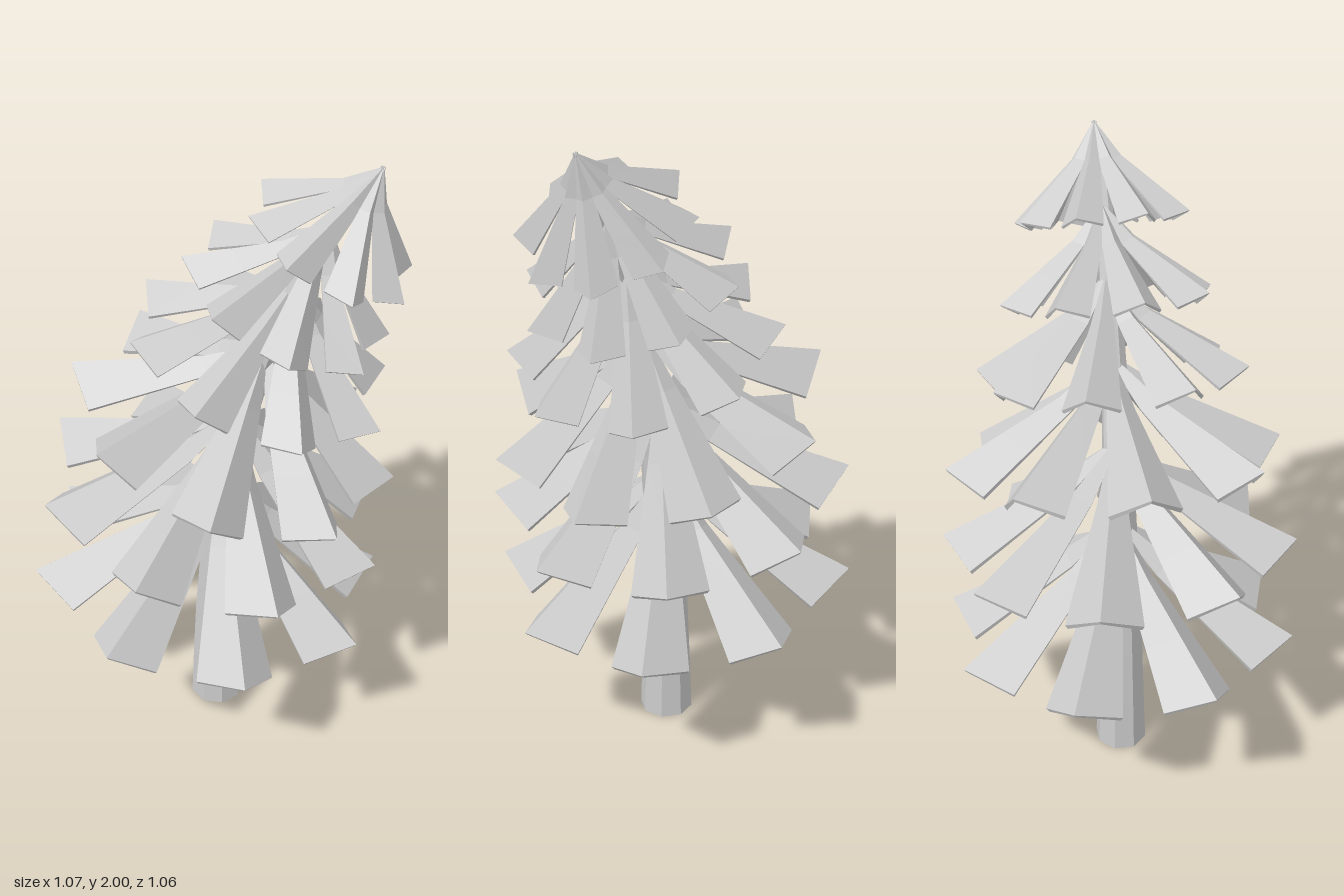
import * as THREE from 'three';

const material = new THREE.MeshStandardMaterial({ color: 0xcccccc, flatShading: true });

// Roof-shaped branch along +z, pointed at the trunk, wide at the tip, sloping down
function branchGeometry(reach, drop, halfWidth) {
  const fold = halfWidth * 0.95;
  const thick = halfWidth * 0.11;
  const section = new THREE.Shape([
    [0, 0], [-halfWidth, -fold], [-halfWidth * 0.93, -fold - thick],
    [0, -thick], [halfWidth * 0.93, -fold - thick], [halfWidth, -fold],
  ].map(([x, y]) => new THREE.Vector2(x, y)));
  const length = Math.hypot(reach, drop);
  const geometry = new THREE.ExtrudeGeometry(section, { depth: length, steps: 3, bevelEnabled: false });
  const p = geometry.attributes.position;
  for (let i = 0; i < p.count; i++) {
    const t = p.getZ(i) / length;
    const s = 0.1 + 0.9 * t;
    // steeper near the trunk, flatter towards the tip
    const sag = 0.02 * Math.min(3 * t, 1.5 * (1 - t));
    // the side corners of the tip sit behind the ridge
    const inset = 0.45 * Math.abs(p.getX(i)) * t;
    p.setXYZ(i, p.getX(i) * s, p.getY(i) * s - sag, p.getZ(i) - inset);
  }
  geometry.rotateX(Math.atan2(drop, reach));
  geometry.computeVertexNormals();
  return geometry;
}

// Tapered eight-sided trunk whose upper part leans towards +x
function createTrunk() {
  const height = 1.88;
  const geometry = new THREE.CylinderGeometry(0.022, 0.083, height, 8, 10);
  geometry.rotateY(Math.PI / 8);
  geometry.translate(0, height / 2, 0.01);
  const p = geometry.attributes.position;
  for (let i = 0; i < p.count; i++) {
    p.setX(i, p.getX(i) - 0.01 + 0.44 * (p.getY(i) / 2) ** 3);
  }
  geometry.computeVertexNormals();
  const trunk = new THREE.Mesh(geometry, material);
  trunk.name = 'trunk';
  return trunk;
}

// Tiers from bottom to top; angles in degrees, start measured from +x towards +z
const BRANCHES = 8;
const tiers = [
  { x: 0.01, y: 0.886, tilt: 8, reach: 0.55, drop: 0.36, width: 0.118, start: 22.5 },
  { x: 0.047, y: 1.143, tilt: 12, reach: 0.545, drop: 0.32, width: 0.115, start: 14 },
  { x: 0.138, y: 1.392, tilt: 19, reach: 0.512, drop: 0.30, width: 0.108, start: -3 },
  { x: 0.216, y: 1.618, tilt: 20, reach: 0.41, drop: 0.28, width: 0.086, start: 18 },
  { x: 0.304, y: 1.808, tilt: 25, reach: 0.325, drop: 0.27, width: 0.072, start: -11 },
  { x: 0.44, y: 2.0, tilt: 28, reach: 0.265, drop: 0.277, width: 0.062, start: 22.5 },
];

function createTier(t, index) {
  const tier = new THREE.Group();
  tier.name = `branchTier${index + 1}`;
  const geometry = branchGeometry(t.reach, t.drop, t.width);
  for (let i = 0; i < BRANCHES; i++) {
    const branch = new THREE.Mesh(geometry, material);
    branch.name = 'branch';
    branch.rotation.y = Math.PI / 2 - THREE.MathUtils.degToRad(t.start + i * 360 / BRANCHES);
    tier.add(branch);
  }
  tier.position.set(t.x, t.y, 0);
  tier.rotation.z = -THREE.MathUtils.degToRad(t.tilt);
  return tier;
}

export function createModel() {
  const tree = new THREE.Group();
  tree.name = 'leaningFirTree';
  tree.add(createTrunk());
  tiers.forEach((t, i) => tree.add(createTier(t, i)));
  return tree;
}
